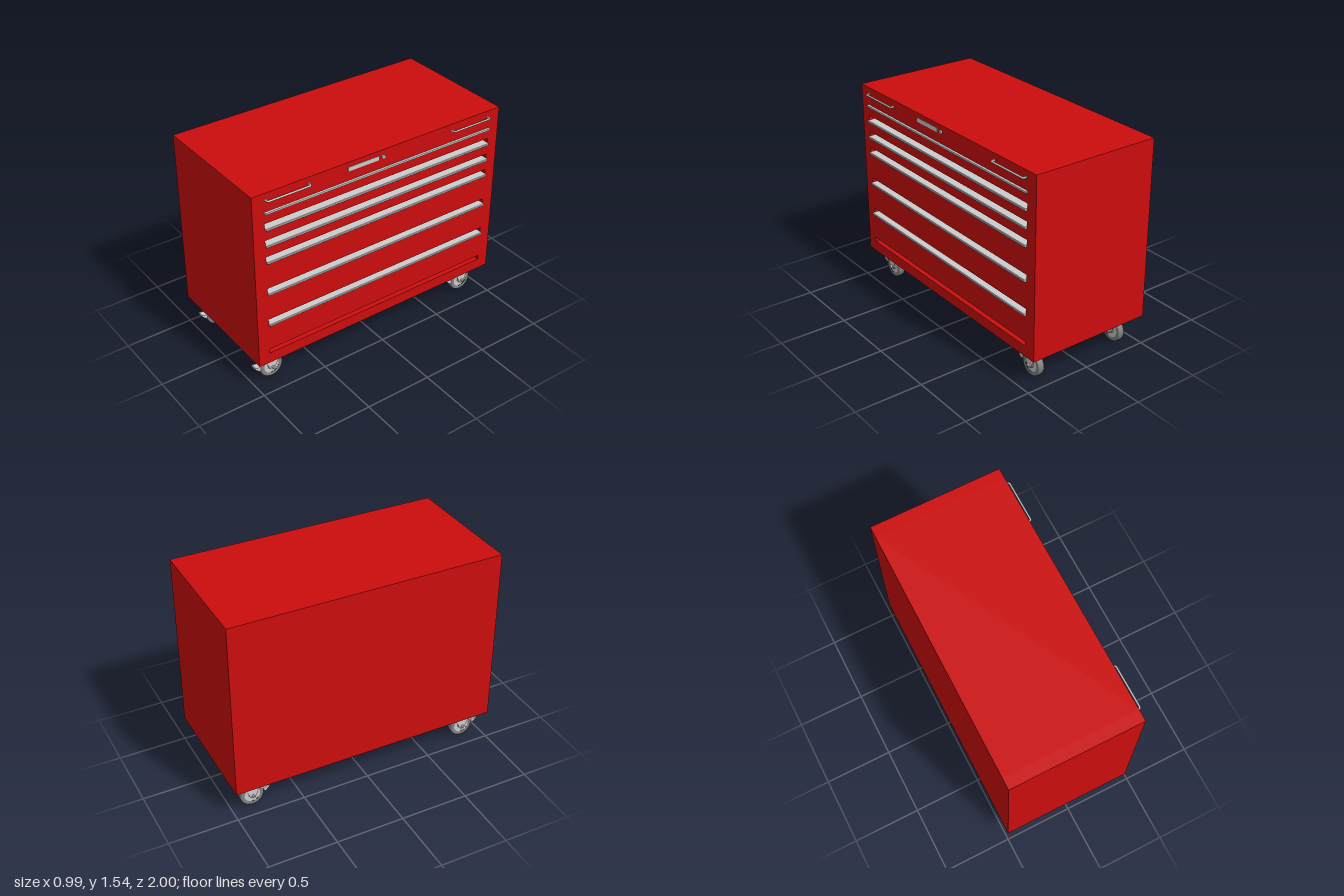
import * as THREE from 'three';

const grey = new THREE.MeshStandardMaterial({ color: 0xcccccc });
const red = new THREE.MeshStandardMaterial({ color: 0xcc0d0d });
const rubber = new THREE.MeshStandardMaterial({ color: 0x808080 });

const FRONT = 0.46, BACK = -0.5, BOTTOM = 0.22, TOP = 1.54, SLOT_Z = 0.915;
const SLOTS = [0.3, 0.546, 0.794, 1.039, 1.164, 1.288]; // floor height of each finger slot

function add(parent, name, geometry, material, x = 0, y = 0, z = 0) {
  const mesh = new THREE.Mesh(geometry, material);
  mesh.name = name;
  mesh.position.set(x, y, z);
  parent.add(mesh);
  return mesh;
}

const polygon = (points) => new THREE.Shape(points.map(([x, y]) => new THREE.Vector2(x, y)));

// Extrudes an (x, y) outline along z, centred on z = 0
function extrudeZ(shape, length) {
  const g = new THREE.ExtrudeGeometry(shape, { depth: length, bevelEnabled: false, curveSegments: 10 });
  return g.translate(0, 0, -length / 2);
}

// Extrudes a (z, y) outline along x, centred on x = 0
const extrudeX = (shape, width) => extrudeZ(shape, width).rotateY(-Math.PI / 2);

const cylinderX = (radius, width, sides = 24) =>
  new THREE.CylinderGeometry(radius, radius, width, sides).rotateZ(-Math.PI / 2);

function makeCabinet() {
  const cabinet = new THREE.Group();
  cabinet.name = 'cabinet';
  // Main body with wedge-shaped finger slots: flat floor, sloping roof
  const outline = [[BACK, BOTTOM], [FRONT, BOTTOM]];
  for (const y of SLOTS) outline.push([FRONT, y], [FRONT - 0.06, y], [FRONT, y + 0.034]);
  outline.push([FRONT, TOP], [BACK, TOP]);
  add(cabinet, 'slottedBody', extrudeZ(polygon(outline), SLOT_Z * 2), red);
  // Solid ends close the slots
  for (const s of [-1, 1]) {
    add(cabinet, 'bodyEnd', new THREE.BoxGeometry(FRONT - BACK, TOP - BOTTOM, 1 - SLOT_Z), red,
      (FRONT + BACK) / 2, (TOP + BOTTOM) / 2, s * (1 + SLOT_Z) / 2);
  }
  return cabinet;
}

function makeDrawerPulls() {
  const pulls = new THREE.Group();
  pulls.name = 'drawerPulls';
  // Lipped strips that line the slot floors
  const strip = polygon([[FRONT - 0.055, 0.001], [FRONT - 0.055, -0.004], [FRONT - 0.005, -0.004],
    [FRONT - 0.005, -0.016], [0.474, -0.016], [0.477, -0.013], [0.477, -0.002], [0.474, 0.001]]);
  const geometry = extrudeZ(strip, SLOT_Z * 2 - 0.002);
  for (const y of SLOTS.slice(1)) add(pulls, 'drawerPull', geometry, grey, 0, y, 0);
  // Plain strip of the top drawer
  add(pulls, 'topDrawerPull', new THREE.BoxGeometry(0.02, 0.013, SLOT_Z * 2), grey, 0.467, 1.4, 0);
  return pulls;
}

function makeLidHandle(z) {
  const handle = new THREE.Group();
  handle.name = 'lidHandle';
  handle.position.set(FRONT, 1.49, z);
  const v = (x, zz) => new THREE.Vector3(x, 0, zz);
  const half = 0.16, out = 0.024, r = 0.014;
  const path = new THREE.CurvePath();
  path.add(new THREE.LineCurve3(v(-0.005, -half), v(out - r, -half)));
  path.add(new THREE.QuadraticBezierCurve3(v(out - r, -half), v(out, -half), v(out, -half + r)));
  path.add(new THREE.LineCurve3(v(out, -half + r), v(out, half - r)));
  path.add(new THREE.QuadraticBezierCurve3(v(out, half - r), v(out, half), v(out - r, half)));
  path.add(new THREE.LineCurve3(v(out - r, half), v(-0.005, half)));
  add(handle, 'handleBar', new THREE.TubeGeometry(path, 120, 0.007, 10), grey);
  for (const s of [-1, 1]) add(handle, 'handleFoot', cylinderX(0.01, 0.008), grey, 0.002, 0, s * half);
  return handle;
}

// Wheel with tyre, recessed disc and hub; the axle runs along x
function makeWheel() {
  const wheel = new THREE.Group();
  wheel.name = 'wheel';
  const lathe = (points) => new THREE.LatheGeometry(points.map(([r, h]) => new THREE.Vector2(r, h)), 40)
    .rotateZ(-Math.PI / 2);
  add(wheel, 'tyre', lathe([[0.058, -0.022], [0.078, -0.025], [0.084, -0.023], [0.087, -0.017],
    [0.087, 0.017], [0.084, 0.023], [0.078, 0.025], [0.058, 0.022]]), rubber);
  add(wheel, 'wheelDisc', cylinderX(0.06, 0.038, 40), grey);
  add(wheel, 'hub', cylinderX(0.026, 0.06), grey);
  return wheel;
}

function makeCaster(x, z, swivel) {
  const caster = new THREE.Group();
  caster.name = swivel ? 'swivelCaster' : 'fixedCaster';
  caster.position.set(x, 0, z);
  const axleY = 0.087, plateTop = swivel ? 0.208 : 0.22;

  const wheel = makeWheel();
  wheel.position.y = axleY;
  caster.add(wheel);

  // Tapered fork cheeks with a rounded lower end
  const cheek = new THREE.Shape();
  cheek.moveTo(0.085, plateTop);
  cheek.lineTo(-0.085, plateTop);
  cheek.lineTo(-0.08, plateTop - 0.012);
  cheek.lineTo(-0.02, axleY - 0.008);
  cheek.absarc(0, axleY, 0.0215, Math.PI * 1.12, Math.PI * 1.88, false);
  cheek.lineTo(0.08, plateTop - 0.012);
  const cheekGeometry = extrudeX(cheek, 0.005);
  for (const s of [-1, 1]) {
    add(caster, 'forkCheek', cheekGeometry, grey, s * 0.036);
    add(caster, 'axleNut', cylinderX(0.012, 0.014, 6), grey, s * 0.045, axleY);
    add(caster, 'rivet', cylinderX(0.005, 0.006, 12), grey, s * 0.039, 0.18);
  }
  add(caster, 'axle', cylinderX(0.007, 0.108, 16), grey, 0, axleY);
  add(caster, 'forkBridge', new THREE.BoxGeometry(0.077, 0.006, 0.17), grey, 0, plateTop - 0.003);
  if (swivel) {
    add(caster, 'swivelBearing', new THREE.CylinderGeometry(0.022, 0.03, 0.014, 28), grey, 0, 0.214);
  }

  // Foot brake reaching out past the tyre
  const lever = polygon([[0.045, 0.148], [0.075, 0.135], [0.092, 0.115], [0.128, 0.124],
    [0.131, 0.114], [0.098, 0.082], [0.088, 0.09], [0.088, 0.105], [0.07, 0.125], [0.04, 0.138]]);
  add(caster, 'brakeLever', extrudeX(lever, 0.05), grey);
  return caster;
}

export function createModel() {
  const model = new THREE.Group();
  model.name = 'rollingToolChest';
  model.add(makeCabinet(), makeDrawerPulls());
  for (const s of [-1, 1]) model.add(makeLidHandle(s * 0.74));

  // Blank plate and round lock on the top band
  add(model, 'namePlate', new THREE.BoxGeometry(0.008, 0.03, 0.24), grey, FRONT, 1.49, 0.16);
  add(model, 'lock', cylinderX(0.014, 0.016), grey, FRONT + 0.002, 1.49, 0);
  add(model, 'lockCore', cylinderX(0.008, 0.02), grey, FRONT + 0.002, 1.49, 0);

  for (const x of [-0.375, 0.335]) {
    model.add(makeCaster(x, 0.845, true), makeCaster(x, -0.845, false));
  }
  return model;
}
